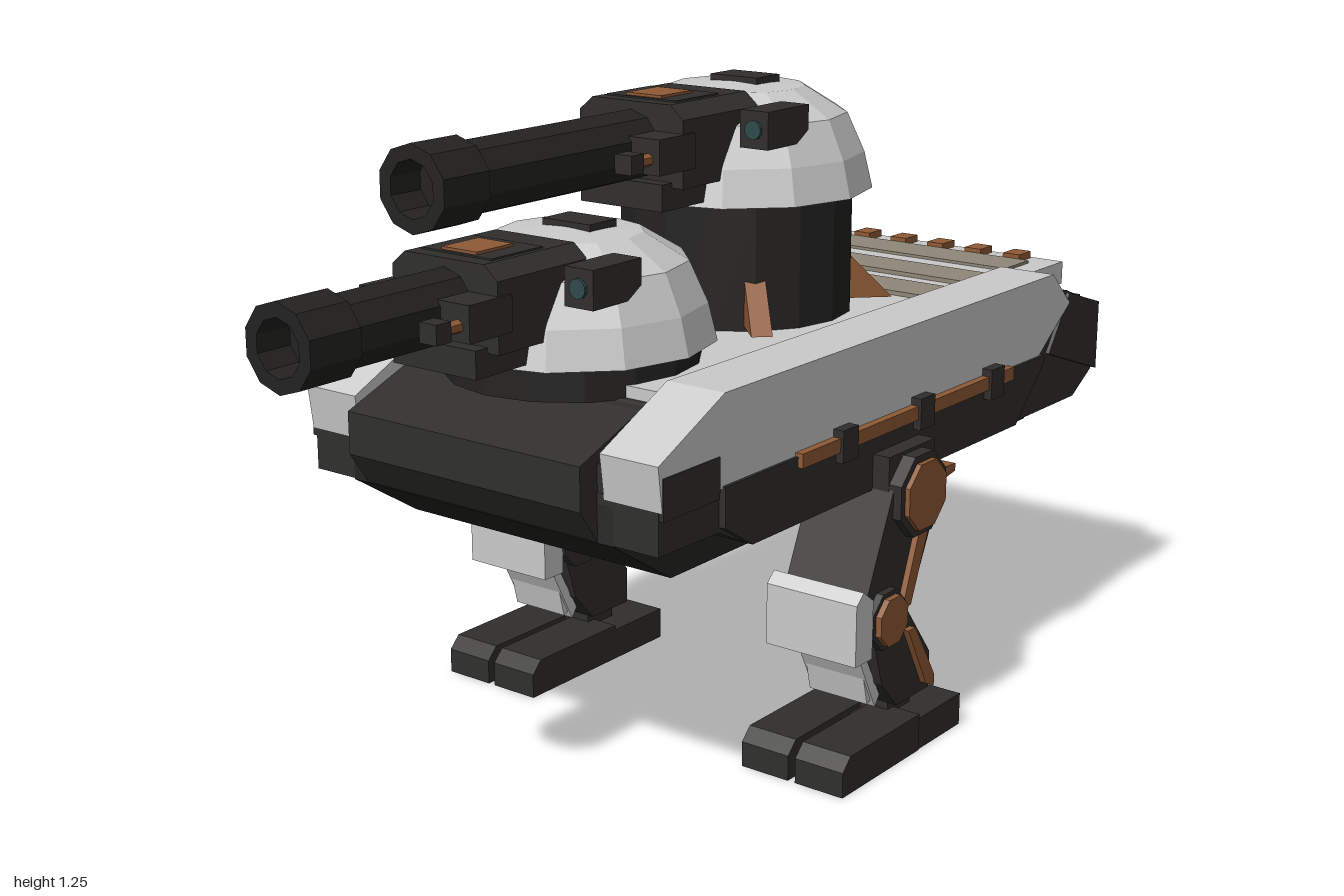
import * as THREE from 'three';

const mat = (color) => new THREE.MeshStandardMaterial({ color, flatShading: true });

export function createModel() {
  const root = new THREE.Group();
  const grey = mat(0xcccccc), dark = mat(0x302f2d), black = mat(0x242322);
  const copper = mat(0x8f5a35), tan = mat(0x908878), glass = mat(0x2f4a4c);

  const add = (name, geo, m, parent = root) => {
    const mesh = new THREE.Mesh(geo, m);
    mesh.name = name;
    parent.add(mesh);
    return mesh;
  };
  // box given by its limits on each axis
  const box = (name, m, [x0, x1], [y0, y1], [z0, z1], parent) =>
    add(name, new THREE.BoxGeometry(x1 - x0, y1 - y0, z1 - z0)
      .translate((x0 + x1) / 2, (y0 + y1) / 2, (z0 + z1) / 2), m, parent);
  // side profile of [z, y] points, extruded from x0 to x1
  const prism = (name, m, pts, x0, x1, parent) => {
    const shape = new THREE.Shape(pts.map(([z, y]) => new THREE.Vector2(z, y)));
    const geo = new THREE.ExtrudeGeometry(shape, { depth: x1 - x0, bevelEnabled: false });
    return add(name, geo.rotateY(-Math.PI / 2).translate(x1, 0, 0), m, parent);
  };
  const lathe = (pts, sides, turn = 0) =>
    new THREE.LatheGeometry(pts.map(([r, y]) => new THREE.Vector2(r, y)), sides, turn);
  // both sides, limits mirrored in x
  const both = (fn) => [1, -1].forEach((s) => fn((a, b) => (s > 0 ? [a, b] : [-b, -a]), s));

  // ---- hull ----
  prism('lowerHull', black, [[0.556, 0.64], [0.556, 0.57], [0.4, 0.47], [-0.845, 0.47], [-0.925, 0.57], [-0.925, 0.64]], -0.305, 0.305);
  prism('midHull', dark, [[0.556, 0.66], [0.556, 0.572], [0.5, 0.572], [0.39, 0.57], [0.31, 0.53],
    [-0.88, 0.53], [-0.957, 0.575], [-0.957, 0.72], [-0.83, 0.77], [-0.7, 0.77], [-0.7, 0.66]], -0.4, 0.4);
  prism('nose', dark, [[0.6, 0.715], [0.6, 0.635], [0.556, 0.572], [0.38, 0.572], [0.38, 0.775], [0.44, 0.775]], -0.27, 0.27);
  prism('noseLedge', dark, [[0.45, 0.755], [0.45, 0.73], [0.36, 0.73], [0.36, 0.778], [0.41, 0.778]], -0.37, 0.37);
  box('noseBumper', dark, [-0.41, 0.41], [0.635, 0.71], [0.4, 0.555]);
  box('deck', grey, [-0.29, 0.29], [0.7, 0.8], [-0.8, 0.4]);
  box('rearDeck', grey, [-0.33, 0.33], [0.755, 0.803], [-0.94, -0.7]);
  for (const z of [-0.83, -0.67, -0.51]) box('deckPanel', tan, [-0.28, 0.28], [0.8, 0.809], [z - 0.05, z + 0.05]);
  for (let i = 0; i < 6; i++) {
    const x = -0.2375 + i * 0.095;
    box('deckVent', copper, [x - 0.02, x + 0.02], [0.795, 0.818], [-0.93, -0.88]);
  }
  box('rearFrame', dark, [-0.36, 0.36], [0.63, 0.73], [-0.97, -0.94]);
  box('rearLightBar', copper, [-0.325, 0.325], [0.65, 0.715], [-0.993, -0.965]);
  box('rearLightStrip', copper, [-0.2, 0.2], [0.675, 0.69], [-0.998, -0.99]);

  both((span) => {
    prism('sideArmour', grey, [[0.556, 0.65], [0.567, 0.733], [0.385, 0.818], [-0.754, 0.818], [-0.83, 0.745], [-0.7, 0.65]], ...span(0.285, 0.408));
    prism('sideSkirt', dark, [[0.39, 0.58], [0.31, 0.53], [-0.61, 0.53], [-0.72, 0.64], [-0.72, 0.655], [0.39, 0.655]], ...span(0.38, 0.414));
    box('sideRail', copper, span(0.405, 0.424), [0.635, 0.662], [-0.575, 0.175]);
    for (const z of [0.03, -0.235, -0.5]) box('railClip', dark, span(0.4, 0.43), [0.615, 0.677], [z - 0.025, z + 0.025]);
    prism('rearCorner', dark, [[-0.75, 0.65], [-0.83, 0.765], [-0.965, 0.722], [-0.965, 0.575]], ...span(0.33, 0.408));
  });

  // ---- turrets ----
  function turret(z, base, ringHeight, ringRadius, reach) {
    const t = new THREE.Group();
    t.name = 'turret';
    t.position.set(0, base, z);
    root.add(t);
    add('turretRing', new THREE.CylinderGeometry(ringRadius, ringRadius, ringHeight, 16).translate(0, -ringHeight / 2, 0), black, t);
    add('dome', lathe([[0, 0], [0.263, 0], [0.246, 0.07], [0.212, 0.145], [0.13, 0.195], [0, 0.203]], 12), grey, t);
    box('hatch', dark, [-0.055, 0.055], [0.19, 0.212], [-0.06, 0.015], t);
    box('rearBox', copper, [-0.055, 0.055], [0.05, 0.08], [-0.305, -0.22], t);

    // sensor pod with lens
    box('sensorPod', dark, [0.14, 0.203], [0.11, 0.18], [0.055, 0.185], t);
    add('sensorLens', new THREE.CylinderGeometry(0.018, 0.018, 0.01, 10).rotateX(Math.PI / 2).translate(0.172, 0.145, 0.186), glass, t);

    // mantlet: chamfered cross-section pushed forward
    const m = new THREE.Shape([[-0.12, 0.05], [0.12, 0.05], [0.12, 0.175], [0.09, 0.2], [-0.09, 0.2], [-0.12, 0.175]]
      .map(([x, y]) => new THREE.Vector2(x, y)));
    add('mantlet', new THREE.ExtrudeGeometry(m, { depth: 0.23, bevelEnabled: false }).translate(0, 0, 0.1), dark, t);
    box('mantletChin', dark, [-0.095, 0.095], [0.01, 0.06], [0.17, 0.36], t);
    box('mantletCap', dark, [-0.08, 0.08], [0.18, 0.203], [0.17, 0.3], t);
    box('mantletTopPlate', copper, [-0.04, 0.04], [0.17, 0.208], [0.2, 0.292], t);
    both((span, s) => {
      box('mantletCheek', dark, span(0.055, 0.125), [0.085, 0.15], [0.3, 0.405], t);
      const rod = new THREE.CylinderGeometry(0.012, 0.012, 0.1, 6).rotateX(Math.PI / 2);
      add('recoilRod', rod.translate(s * 0.1, 0.112, 0.42), copper, t);
      box('rodCap', dark, span(0.08, 0.118), [0.095, 0.13], [0.44, 0.475], t);
    });

    // barrel with a hollow muzzle
    const gun = lathe([[0, 0.1], [0.065, 0.1], [0.065, reach - 0.11], [0.076, reach - 0.11], [0.076, reach],
      [0.05, reach], [0.05, reach - 0.07], [0, reach - 0.07]], 10);
    add('barrel', gun.rotateX(Math.PI / 2).translate(0, 0.12, 0), black, t);
    return t;
  }
  const rear = turret(-0.205, 1.04, 0.26, 0.228, 0.9);
  turret(0.295, 0.835, 0.06, 0.235, 0.705);

  // copper braces at the foot of the tall ring
  for (const a of [0.25, 0.75, 1.25, 1.75]) {
    const brace = prism('ringBrace', copper, [[0.2, -0.23], [0.31, -0.23], [0.21, -0.13]], -0.02, 0.02, rear);
    brace.rotation.y = a * Math.PI;
  }

  // ---- legs ----
  const disc = (name, m, r, x0, x1, y, z, sides, parent) =>
    add(name, new THREE.CylinderGeometry(r, r, x1 - x0, sides, 1, false, Math.PI / sides)
      .rotateZ(Math.PI / 2).translate((x0 + x1) / 2, y, z), m, parent);
  both((span) => {
    const leg = new THREE.Group();
    leg.name = 'leg';
    root.add(leg);
    box('hipBlock', dark, span(0.28, 0.45), [0.48, 0.6], [-0.23, -0.07], leg);
    disc('hipHousing', dark, 0.085, ...span(0.4, 0.477), 0.515, -0.15, 8, leg);
    disc('hipCap', copper, 0.07, ...span(0.46, 0.487), 0.515, -0.15, 8, leg);
    prism('hipFin', copper, [[-0.19, 0.535], [-0.31, 0.53], [-0.31, 0.515], [-0.19, 0.495]], ...span(0.42, 0.45), leg);
    prism('thigh', dark, [[-0.075, 0.545], [-0.22, 0.545], [-0.225, 0.47], [-0.145, 0.3], [-0.1, 0.26], [-0.01, 0.27], [0.015, 0.34]], ...span(0.28, 0.46), leg);
    prism('thighStripe', copper, [[-0.155, 0.46], [-0.19, 0.46], [-0.125, 0.3], [-0.095, 0.3]], ...span(0.45, 0.472), leg);
    disc('kneeJoint', dark, 0.06, ...span(0.27, 0.475), 0.295, -0.045, 8, leg);
    disc('kneeCap', copper, 0.05, ...span(0.46, 0.487), 0.295, -0.045, 8, leg);
    prism('kneePlate', grey, [[0.045, 0.375], [0.068, 0.355], [0.068, 0.235], [0.012, 0.235], [0.012, 0.35]], ...span(0.275, 0.475), leg);
    box('kneeMount', dark, span(0.32, 0.43), [0.26, 0.33], [-0.03, 0.02], leg);
    prism('shin', dark, [[-0.01, 0.27], [-0.13, 0.285], [-0.215, 0.175], [-0.215, 0.1], [-0.1, 0.1], [-0.045, 0.16]], ...span(0.29, 0.462), leg);
    prism('shinPlate', grey, [[-0.01, 0.23], [0.012, 0.23], [-0.05, 0.11], [-0.065, 0.13]].reverse(), ...span(0.305, 0.445), leg);
    prism('shinPlateMount', grey, [[-0.01, 0.23], [-0.01, 0.2], [-0.03, 0.12], [-0.07, 0.14]], ...span(0.31, 0.44), leg);
    prism('shinStripe', copper, [[-0.115, 0.25], [-0.14, 0.25], [-0.215, 0.13], [-0.215, 0.105], [-0.185, 0.12]], ...span(0.45, 0.475), leg);
    box('ankle', dark, span(0.32, 0.43), [0.05, 0.11], [-0.2, -0.12], leg);

    // foot: heel and two toes with bevelled tops
    box('heel', dark, span(0.262, 0.488), [0, 0.065], [-0.295, -0.08], leg);
    for (const x of [0.262, 0.384]) {
      prism('toe', dark, [[0.125, 0], [0.125, 0.05], [0.1, 0.075], [-0.14, 0.075], [-0.14, 0]], ...span(x, x + 0.106), leg);
    }
  });

  return root;
}
